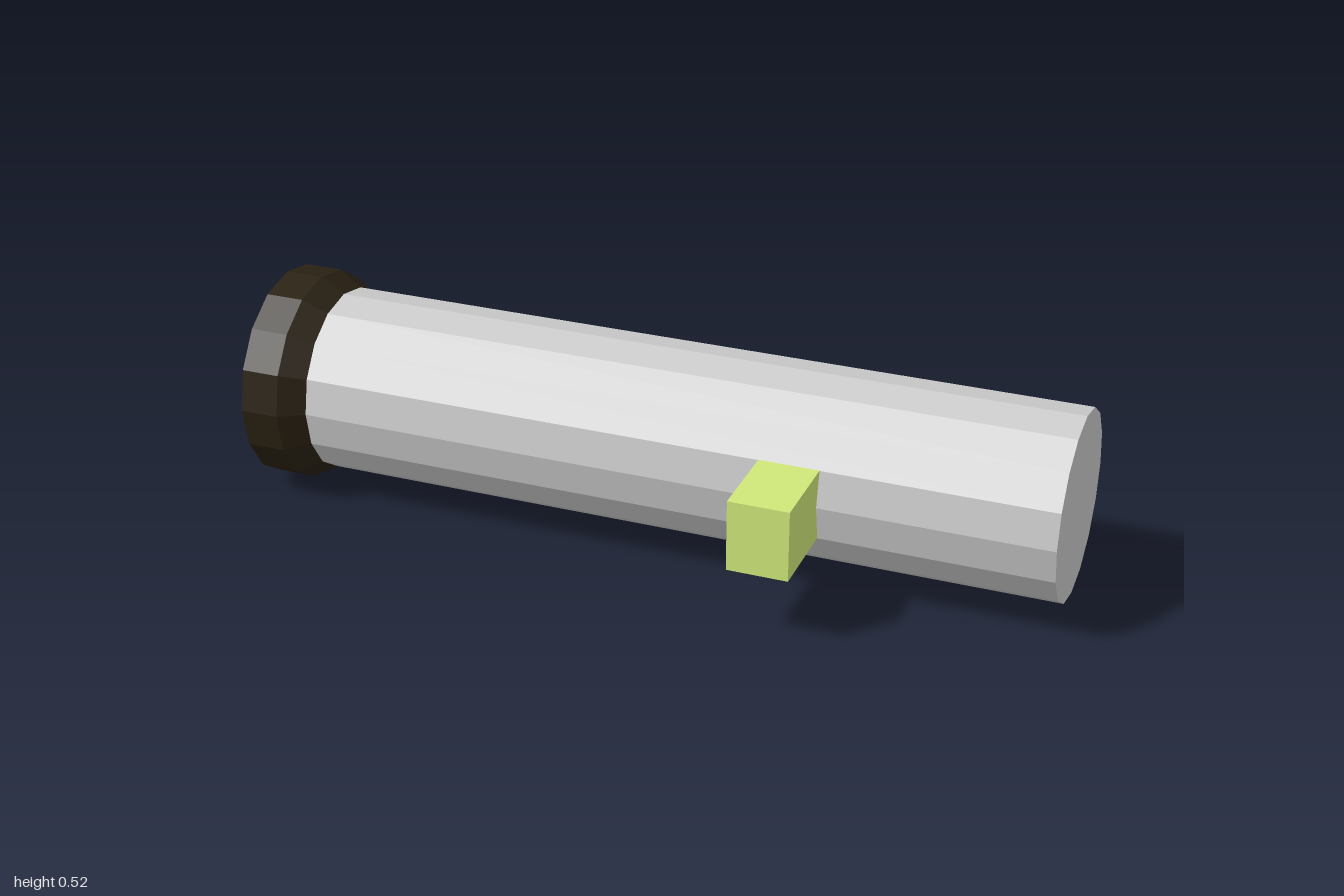
import * as THREE from 'three';

const SIDES = 16;
const AXIS_Y = 0.262, AXIS_Z = -0.079;

function part(name, geometry, color) {
  const material = new THREE.MeshStandardMaterial({ color, flatShading: true });
  const mesh = new THREE.Mesh(geometry, material);
  mesh.name = name;
  return mesh;
}

export function createModel() {
  const model = new THREE.Group();
  model.name = 'tubeWithCollar';

  // Long faceted barrel lying along x, closed at both ends
  const start = -0.845, end = 1;
  const barrel = part('barrel',
    new THREE.CylinderGeometry(0.226, 0.226, end - start, SIDES).rotateZ(-Math.PI / 2), 0xcccccc);
  barrel.position.set((start + end) / 2, AXIS_Y, AXIS_Z);

  // Dark hollow collar: bore, flat rim, outer band, then a taper down to the barrel
  const profile = [
    [0.19, start], [0.19, -1], [0.262, -1], [0.262, -0.905], [0.226, start],
  ].map(([r, x]) => new THREE.Vector2(r, x));
  const collar = part('collar',
    new THREE.LatheGeometry(profile, SIDES).rotateZ(-Math.PI / 2), 0x2a2113);
  collar.position.set(0, AXIS_Y, AXIS_Z);

  // Square block projecting from the front, its root sunk into the barrel
  const button = part('sideBlock', new THREE.BoxGeometry(0.145, 0.173, 0.21), 0xcfe87a);
  button.position.set(0.378, 0.263, 0.235);

  model.add(barrel, collar, button);
  return model;
}
